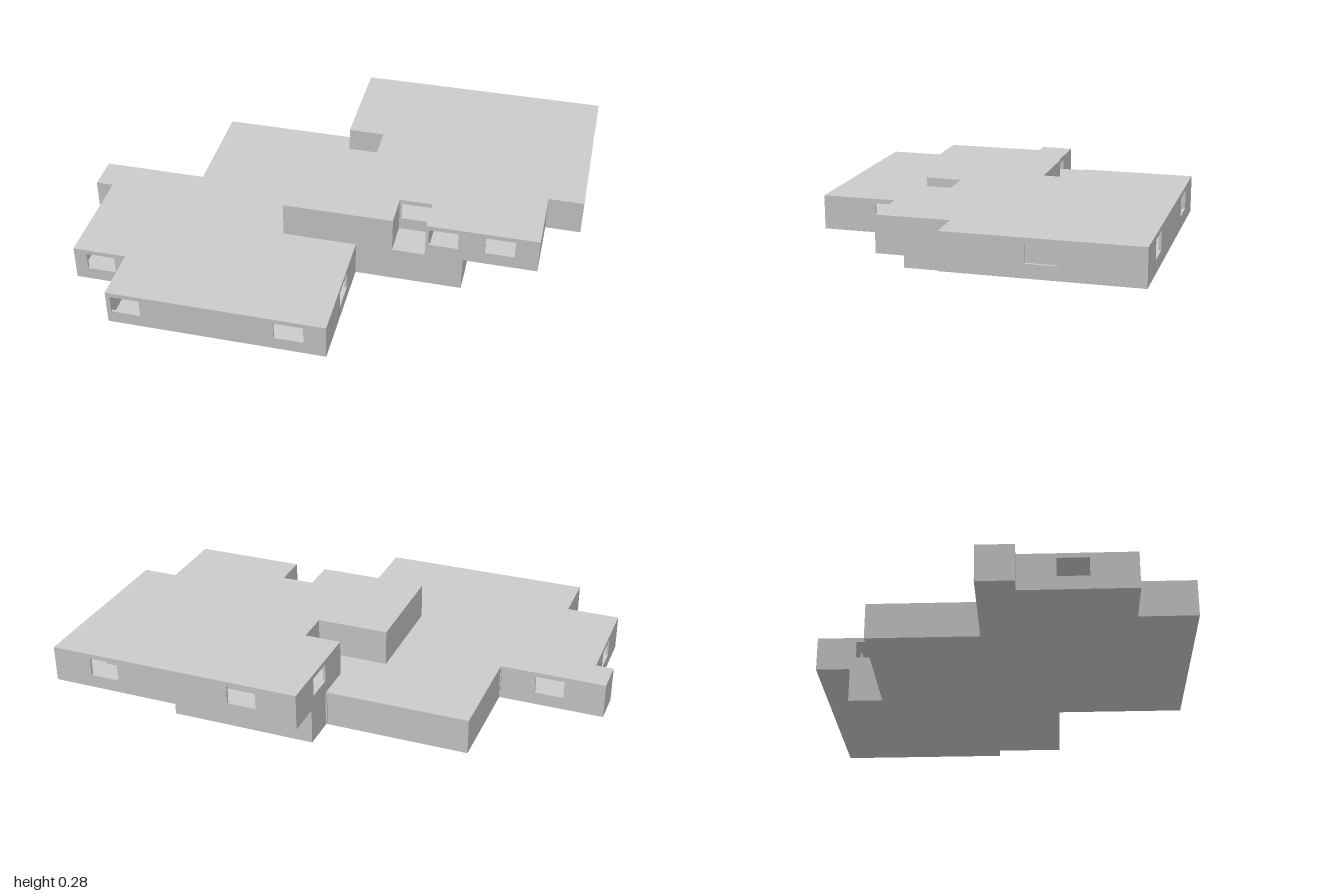
import * as THREE from 'three';

const material = new THREE.MeshStandardMaterial({ color: 0xcccccc, flatShading: true });
const STOREY = 0.1425, WALL = 0.01, SLAB = 0.008;
const WIN_HALF = 0.058, WIN_LOW = 0.052, WIN_HIGH = 0.124;

// Outlines as [x, z], counter-clockwise seen from above.
// Windows as [outline edge, x or z of the window centre]; partitions as [x0, z0, x1, z1].
const storeys = [
  {
    name: 'lowerStorey',
    outline: [[-1, -0.04], [-1, 0.1], [-0.93, 0.1], [-0.93, 0.53], [-0.715, 0.53], [-0.715, 0.75],
      [0.145, 0.75], [0.145, 0.25], [0.57, 0.25], [0.57, -0.61], [-0.01, -0.61], [-0.01, -0.47],
      [-0.58, -0.47], [-0.58, -0.04]],
    windows: [[2, 0.3], [3, -0.82], [5, -0.64], [5, 0], [6, 0.467], [9, 0.42], [13, -0.78]],
    partitions: [[-0.02, 0.25, -0.02, 0.48], [-0.58, 0.25, 0.14, 0.25], [-0.58, -0.04, -0.58, 0.25],
      [-0.01, -0.47, -0.01, 0.1]],
  },
  {
    name: 'upperStorey',
    outline: [[-0.15, -0.185], [-0.15, 0.25], [0.29, 0.25], [0.29, 0.11], [0.42, 0.11], [0.42, 0.25],
      [0.86, 0.25], [0.86, -0.03], [1, -0.03], [1, -0.75], [-0.01, -0.75], [-0.01, -0.32],
      [0.135, -0.32], [0.135, -0.185]],
    windows: [[3, 0.355], [5, 0.49], [5, 0.71], [8, -0.39], [9, 0.785], [9, 0.21], [10, -0.53]],
    partitions: [[0.13, -0.585, 0.87, -0.585], [0.87, -0.585, 0.87, -0.24], [0.42, -0.24, 0.87, -0.24],
      [0.42, -0.4, 0.42, -0.03]],
  },
];

function addMesh(parent, geometry, name) {
  const mesh = new THREE.Mesh(geometry, material);
  mesh.name = name;
  parent.add(mesh);
  return mesh;
}

function rectangle(Type, x0, y0, x1, y1) {
  return new Type([[x0, y0], [x1, y0], [x1, y1], [x0, y1]].map(p => new THREE.Vector2(...p)));
}

function slab(parent, outline, y, name) {
  const shape = new THREE.Shape(outline.map(([x, z]) => new THREE.Vector2(x, -z)));
  const geometry = new THREE.ExtrudeGeometry(shape, { depth: SLAB, bevelEnabled: false });
  addMesh(parent, geometry.rotateX(-Math.PI / 2), name).position.y = y;
}

// One outer wall per outline edge; corners are trimmed or extended so walls meet cleanly
function outerWalls(parent, { outline, windows }) {
  const n = outline.length;
  const point = i => outline[(i + n) % n];
  const edge = i => [point(i + 1)[0] - point(i)[0], point(i + 1)[1] - point(i)[1]];
  const convex = i => {
    const a = edge(i - 1), b = edge(i);
    return a[0] * b[1] - a[1] * b[0] < 0;
  };
  for (let i = 0; i < n; i++) {
    const [x, z] = point(i), [dx, dz] = edge(i);
    const start = convex(i) ? WALL : 0;
    const end = Math.hypot(dx, dz) + (convex(i + 1) ? 0 : WALL);
    const shape = rectangle(THREE.Shape, start, SLAB, end, STOREY - SLAB);
    for (const [index, centre] of windows) {
      if (index !== i) continue;
      const u = Math.abs(centre - (dx ? x : z));
      shape.holes.push(rectangle(THREE.Path, u - WIN_HALF, WIN_LOW, u + WIN_HALF, WIN_HIGH));
    }
    const geometry = new THREE.ExtrudeGeometry(shape, { depth: WALL, bevelEnabled: false });
    const wall = addMesh(parent, geometry.translate(0, 0, -WALL), 'outerWall');
    wall.position.set(x, 0, z);
    wall.rotation.y = Math.atan2(-dz, dx);
  }
}

function partitionWalls(parent, partitions) {
  for (const [x0, z0, x1, z1] of partitions) {
    const geometry = new THREE.BoxGeometry(x1 - x0 + WALL, STOREY - 2 * SLAB, z1 - z0 + WALL);
    addMesh(parent, geometry, 'partitionWall').position.set((x0 + x1) / 2, STOREY / 2, (z0 + z1) / 2);
  }
}

export function createModel() {
  const house = new THREE.Group();
  house.name = 'house';
  storeys.forEach((storey, level) => {
    const group = new THREE.Group();
    group.name = storey.name;
    group.position.y = level * STOREY;
    slab(group, storey.outline, 0, 'floor');
    slab(group, storey.outline, STOREY - SLAB, 'roof');
    outerWalls(group, storey);
    partitionWalls(group, storey.partitions);
    house.add(group);
  });
  return house;
}
